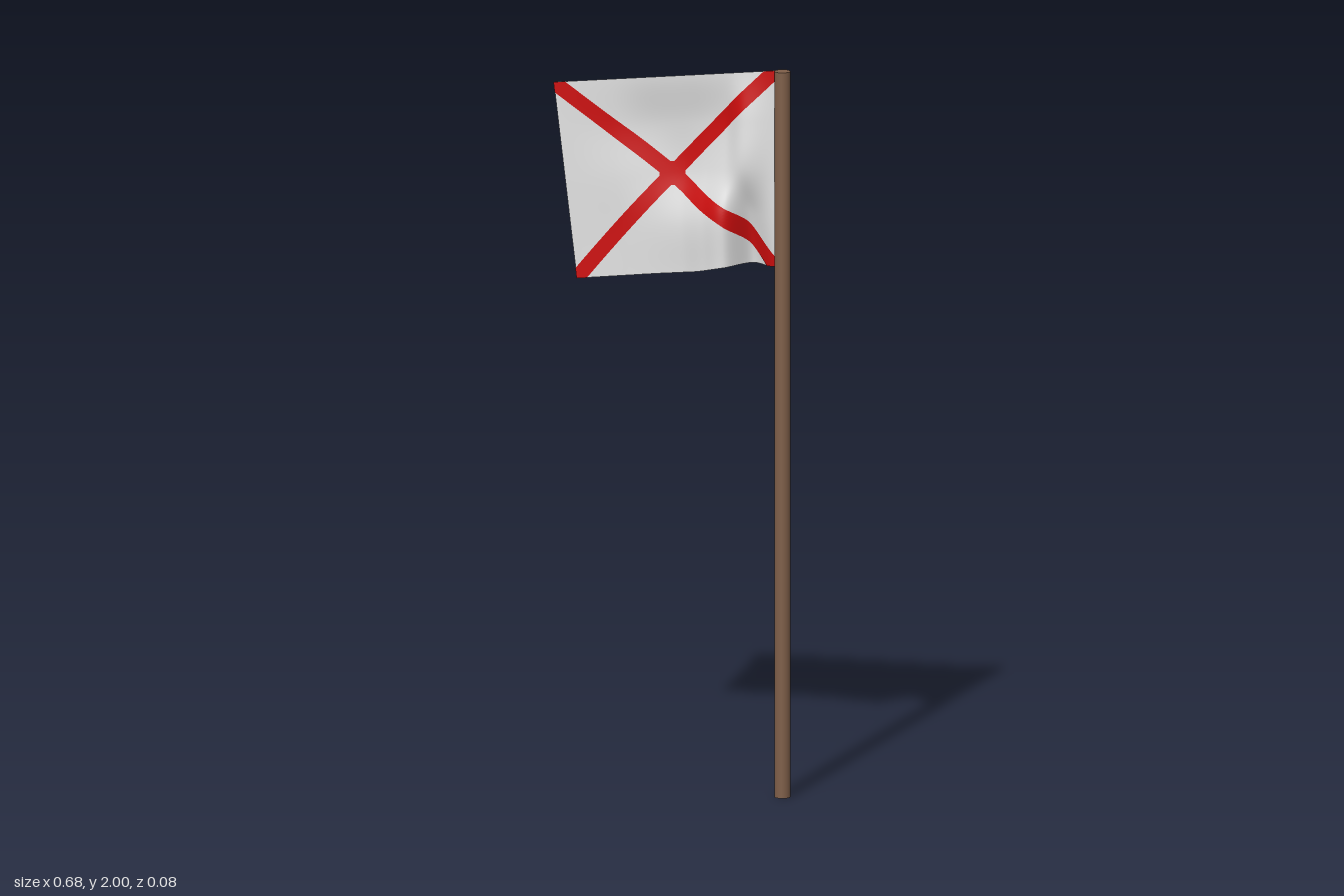
import * as THREE from 'three';

const cloth = new THREE.MeshStandardMaterial({ color: 0xe2e2e2, side: THREE.DoubleSide });
cloth.name = 'pale cloth';
const red = new THREE.MeshStandardMaterial({ color: 0xce0d0d, side: THREE.DoubleSide });
red.name = 'red stripe';
const wood = new THREE.MeshStandardMaterial({ color: 0x7f5f49 });
wood.name = 'brown wood';

// Depth of the folds: columns run from the free edge to the pole, rows from bottom to top
const columns = [0, 0.25, 0.4, 0.55, 0.65, 0.77, 0.86, 1];
const folds = [
  [0, 0, 0, 0.008, 0.025, 0.035, -0.04, 0],
  [0, 0, 0, 0.008, 0.025, 0.038, -0.015, 0],
  [0, 0, -0.012, -0.02, -0.01, 0.01, 0.022, 0],
  [0, -0.006, -0.018, -0.02, -0.018, -0.008, 0.016, 0],
  [0, 0, 0, 0, 0, 0, 0, 0],
];
const { lerp, clamp } = THREE.MathUtils;

// Smooth curve through evenly numbered values
function spline(values, t) {
  const last = values.length - 1;
  const i = Math.min(Math.floor(t), last - 1), f = t - i;
  const a = values[Math.max(i - 1, 0)], b = values[i];
  const c = values[i + 1], d = values[Math.min(i + 2, last)];
  const m = (c - a) / 2, n = (d - b) / 2;
  return b + f * (m + f * (3 * (c - b) - 2 * m - n + f * (2 * (b - c) + m + n)));
}

// Point on the cloth: u from free edge to pole, v from bottom to top
function clothPoint(u, v) {
  let k = 0;
  while (k < columns.length - 2 && u > columns[k + 1]) k++;
  const t = k + (u - columns[k]) / (columns[k + 1] - columns[k]);
  const z = spline(folds.map((row) => spline(row, t)), v * (folds.length - 1));
  const lift = 0.026 * Math.exp(-(((u - 0.78) / 0.13) ** 2) - ((v - 0.2) / 0.22) ** 2);
  return new THREE.Vector3(
    lerp(lerp(-0.275, 0.3, u), lerp(-0.342, 0.3, u), v),
    lerp(lerp(1.38, 1.46, u), lerp(1.915, 2.0, u), v) + lift * Math.min(1, (1 - u) * 8),
    z);
}

// Grid that follows a rule giving a point for (s, t)
function sheet(rule, ns, nt) {
  const geometry = new THREE.PlaneGeometry(1, 1, ns, nt);
  const position = geometry.attributes.position, uv = geometry.attributes.uv;
  for (let i = 0; i < position.count; i++) {
    const p = rule(uv.getX(i), uv.getY(i));
    position.setXYZ(i, p.x, p.y, p.z);
  }
  geometry.computeVertexNormals();
  return geometry;
}

// Unit normal of the cloth
function clothNormal(u, v) {
  const e = 0.01;
  const du = clothPoint(Math.min(u + e, 1), v).sub(clothPoint(Math.max(u - e, 0), v));
  const dv = clothPoint(u, Math.min(v + e, 1)).sub(clothPoint(u, Math.max(v - e, 0)));
  return du.cross(dv).normalize();
}

export function createModel() {
  const group = new THREE.Group();
  const add = (name, geometry, material) => {
    const mesh = new THREE.Mesh(geometry, material);
    mesh.name = name;
    group.add(mesh);
    return mesh;
  };

  // Pole
  add('pole', new THREE.CylinderGeometry(0.022, 0.022, 2, 24), wood).position.set(0.32, 1, 0);

  // Waving cloth
  add('flagCloth', sheet(clothPoint, 80, 48), cloth);

  // Diagonal cross, laid on both faces
  const half = 0.026;
  for (const side of [1, -1]) {
    const face = side > 0 ? 'Front' : 'Back';
    const onCloth = (u, v) => {
      const a = clamp(u, 0, 1), b = clamp(v, 0, 1);
      return clothPoint(a, b).addScaledVector(clothNormal(a, b), side * 0.0025);
    };
    for (const rise of [1, -1]) {
      const arm = (s, t) => {
        const w = (t - 0.5) * 2 * half;
        return onCloth(s - w * rise, (rise > 0 ? s : 1 - s) + w);
      };
      add((rise > 0 ? 'risingStripe' : 'fallingStripe') + face, sheet(arm, 120, 6), red);
    }
    // Slightly wider patch where the stripes meet
    const patch = (s, t) => onCloth(0.5 + (s - 0.5) * 0.12, 0.5 + (t - 0.5) * 0.12);
    add('crossCentre' + face, sheet(patch, 10, 10), red);
  }
  return group;
}
